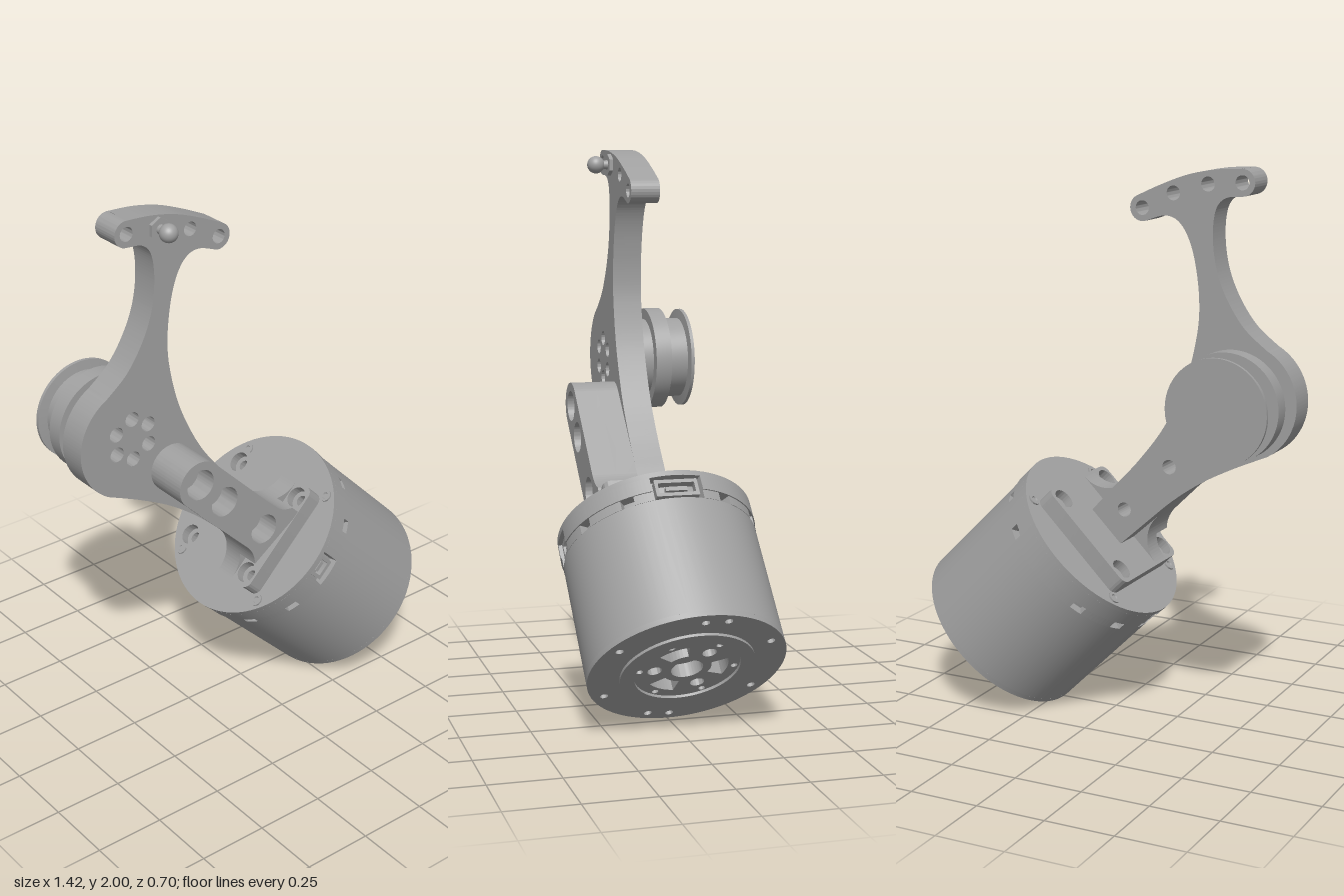
import * as THREE from 'three';
import { toCreasedNormals } from 'three/addons/utils/BufferGeometryUtils.js';

const PI = Math.PI;
const grey = new THREE.MeshStandardMaterial({ color: 0xa0a0a0 });
grey.name = 'machinedGrey';

function add(parent, name, geometry, x = 0, y = 0, z = 0) {
  const mesh = new THREE.Mesh(geometry, grey);
  mesh.name = name;
  mesh.position.set(x, y, z);
  parent.add(mesh);
  return mesh;
}

const circle = (x, y, r) => new THREE.Path().absarc(x, y, r, 0, PI * 2, false);
const pts = (list) => list.map(([x, y]) => new THREE.Vector2(x, y));

// Slab with holes, between z0 and z1
function slab(shape, z0, z1, holes = []) {
  shape.holes.push(...holes);
  const g = new THREE.ExtrudeGeometry(shape, { depth: z1 - z0, bevelEnabled: false, curveSegments: 40 });
  g.translate(0, 0, z0);
  return toCreasedNormals(g, 0.5);
}

// Same slab lying flat: shape y becomes -z, thickness runs along y
const flatSlab = (shape, y0, y1, holes) => slab(shape, y0, y1, holes).rotateX(-PI / 2);

const lathe = (profile) => toCreasedNormals(new THREE.LatheGeometry(pts(profile), 72), 0.5);

function disc(r) {
  const s = new THREE.Shape();
  s.absarc(0, 0, r, 0, PI * 2, false);
  return s;
}

// Disc whose rim is cut inwards at each [angle, half angle]
function notchedDisc(r, inner, notches) {
  const s = new THREE.Shape();
  const sorted = [...notches].sort((a, b) => a[0] - b[0]);
  sorted.forEach(([a, h], i) => {
    const next = sorted[(i + 1) % sorted.length];
    const end = next[0] - next[1] + (i === sorted.length - 1 ? PI * 2 : 0);
    s.absarc(0, 0, inner, a - h, a + h, false);
    s.absarc(0, 0, r, a + h, end, false);
  });
  return s;
}

function roundedRect(w, h, r) {
  const s = new THREE.Shape();
  s.absarc(w - r, h - r, r, 0, PI / 2, false);
  s.absarc(r - w, h - r, r, PI / 2, PI, false);
  s.absarc(r - w, r - h, r, PI, PI * 1.5, false);
  s.absarc(w - r, r - h, r, PI * 1.5, PI * 2, false);
  return s;
}

function buildMotor(parent) {
  const motor = new THREE.Group();
  motor.name = 'motor';
  parent.add(motor);

  // Housing, hollow at the output end
  add(motor, 'housing', lathe([[0, -0.44], [0.225, -0.44], [0.225, -0.56], [0.347, -0.56],
    [0.347, -0.11], [0, -0.11]]));

  // Collar with connector openings and smaller windows
  const big = [[0, 0.26], [PI / 2 * 3, 0.15], [PI, 0.15]];
  const small = [1, 2, 4, 5, 7, 8, 10, 11].map((k) => [k * PI / 6, 0.07]);
  add(motor, 'windowBand', flatSlab(notchedDisc(0.348, 0.315, [...big, ...small]), -0.11, -0.075));
  add(motor, 'connectorBand', flatSlab(notchedDisc(0.352, 0.315, big), -0.075, -0.02));
  add(motor, 'collarTop', flatSlab(disc(0.352), -0.02, 0));
  for (const [a, h] of big) {
    const w = h * 0.35 - 0.014;
    const frame = slab(roundedRect(w, 0.034, 0.004), 0.31, 0.338, [
      new THREE.Path(roundedRect(w - 0.012, 0.02, 0.004).getPoints())]);
    add(motor, 'connector', frame, 0, -0.062, 0).rotation.y = a + PI / 2;
    const pin = add(motor, 'connectorPins', new THREE.BoxGeometry(0.022, 0.016, w));
    pin.position.set(Math.cos(a) * 0.32, -0.062, -Math.sin(a) * 0.32);
    pin.rotation.y = a;
  }

  // Output end: bolt ring, raised rim and slotted rotor
  const bolts = [[0.3, 0], [0.3, 0.08], [0.15, 0.265], [0.15, -0.265],
    [-0.15, 0.265], [-0.15, -0.265], [-0.31, 0], [-0.3, -0.08]];
  add(motor, 'boltRing', flatSlab(disc(0.347), -0.58, -0.56,
    [circle(0, 0, 0.22), ...bolts.map(([x, y]) => circle(x, y, 0.014))]));
  add(motor, 'rotorRim', flatSlab(disc(0.235), -0.59, -0.565, [circle(0, 0, 0.185)]));
  const openings = [circle(0, 0, 0.056)];
  for (let k = 0; k < 3; k++) {
    const a = PI / 2 + k * PI * 2 / 3;
    const slot = new THREE.Path();
    slot.absarc(0, 0, 0.145, a - 0.38, a + 0.38, false);
    slot.absarc(0, 0, 0.085, a + 0.38, a - 0.38, true);
    const b = a + PI / 3;
    openings.push(slot, circle(Math.cos(b) * 0.115, Math.sin(b) * 0.115, 0.025));
  }
  for (let k = 0; k < 6; k++) {
    const a = PI / 6 + k * PI / 3;
    openings.push(circle(Math.cos(a) * 0.168, Math.sin(a) * 0.168, 0.012));
  }
  add(motor, 'rotor', flatSlab(disc(0.2), -0.58, -0.53, openings));

  // Mounting plate with counterbored corners, and the collar screws
  const corners = [[1, 1], [-1, 1], [-1, -1], [1, -1]];
  const bores = (r) => corners.map(([x, y]) => circle(x * 0.162, y * 0.167, r));
  add(motor, 'mountPlateBase', flatSlab(roundedRect(0.214, 0.214, 0.03), 0, 0.03, bores(0.02)));
  add(motor, 'mountPlateTop', flatSlab(roundedRect(0.214, 0.214, 0.03), 0.03, 0.065, bores(0.038)));
  for (const [x, z] of corners) {
    const screw = [[0.022, -0.01], [0.022, 0.006], [0.012, 0.006], [0.01, 0.001], [0, 0.001]];
    add(motor, 'collarScrew', lathe(screw), x * 0.225, 0, z * 0.225);
  }

  // Strut rising from the plate, with flared foot; the outer layer clears the plate bores
  const strut = (start, footX) => {
    const s = new THREE.Shape();
    s.moveTo(-footX, 0.06);
    s.absarc(-0.207, 0.185, 0.12, start, 0, false);
    s.absarc(0, 0.559, 0.087, PI, 0, true);
    s.absarc(0.207, 0.185, 0.12, PI, PI - start, false);
    s.lineTo(footX, 0.06);
    return s;
  };
  const strutHoles = (r) => [0.559, 0.414, 0.166].map((y) => circle(0, y, r));
  add(motor, 'strutInner', slab(strut(-PI / 2, 0.207), 0.047, 0.125, strutHoles(0.026)));
  add(motor, 'strutOuter', slab(strut(-0.76, 0.12), 0.125, 0.212, strutHoles(0.056)));

  motor.rotation.z = PI / 4;
  motor.position.set(0.055, 0.66, 0);
}

function buildArm(parent) {
  // Outline: foot, inner curve, T-shaped head, outer curve, pulley lobe
  const s = new THREE.Shape();
  s.moveTo(-0.0475, 0.649);
  s.lineTo(0.0656, 0.7625);
  s.lineTo(-0.025, 0.863);
  s.splineThru(pts([[-0.12, 0.965], [-0.22, 1.1], [-0.3, 1.27], [-0.34, 1.43], [-0.347, 1.55],
    [-0.33, 1.68], [-0.3, 1.77], [-0.26, 1.82], [-0.21, 1.832], [-0.146, 1.812]]));
  s.absarc(-0.13, 1.855, 0.046, -1.92, 1.13, false);
  s.splineThru(pts([[-0.2, 1.937], [-0.3, 1.974], [-0.4, 1.994], [-0.496, 2.0]]));
  s.absarc(-0.5, 1.954, 0.046, 1.48, 4.7, false);
  s.splineThru(pts([[-0.44, 1.9], [-0.405, 1.86], [-0.395, 1.77], [-0.41, 1.66], [-0.45, 1.56],
    [-0.515, 1.465], [-0.599, 1.395]]));
  s.absarc(-0.5, 1.21, 0.21, 2.06, 4.19, false);
  s.splineThru(pts([[-0.48, 0.972], [-0.36, 0.908], [-0.25, 0.83], [-0.148, 0.74]]));

  const holes = [[-0.5, 1.954], [-0.375, 1.945], [-0.247, 1.91], [-0.13, 1.855]]
    .map(([x, y]) => circle(x, y, 0.025));
  for (const u of [0.559, 0.414, 0.166]) {
    holes.push(circle(0.055 - u * Math.SQRT1_2, 0.66 + u * Math.SQRT1_2, 0.026));
  }
  for (let k = 0; k < 6; k++) {
    const a = PI / 6 + k * PI / 3;
    holes.push(circle(-0.5 + Math.cos(a) * 0.075, 1.215 + Math.sin(a) * 0.075, 0.027));
  }
  add(parent, 'arm', slab(s, -0.06, 0.047, holes));

  // Grooved pulley on the back of the lobe; profile runs away from the arm
  const pulley = add(parent, 'pulley', lathe([[0, 0], [0.15, 0], [0.15, 0.054], [0.19, 0.054], [0.19, 0.114],
    [0.15, 0.114], [0.15, 0.188], [0.185, 0.192], [0.185, 0.204], [0, 0.204]]), -0.5, 1.21, -0.058);
  pulley.rotation.x = -PI / 2;

  // Ball stud with hexagonal base on the head
  const stud = new THREE.Group();
  stud.name = 'ballStud';
  stud.position.set(-0.375, 1.945, 0.047);
  stud.rotation.x = PI / 2;
  parent.add(stud);
  const hex = new THREE.CylinderGeometry(0.04, 0.04, 0.014, 6).toNonIndexed();
  hex.computeVertexNormals();
  add(stud, 'studHex', hex, 0, 0.007, 0);
  add(stud, 'studStem', new THREE.CylinderGeometry(0.014, 0.018, 0.05, 24), 0, 0.025, 0);
  add(stud, 'studBall', new THREE.SphereGeometry(0.032, 32, 20), 0, 0.057, 0);
}

export function createModel() {
  const model = new THREE.Group();
  model.name = 'motorArm';
  buildMotor(model);
  buildArm(model);
  return model;
}
